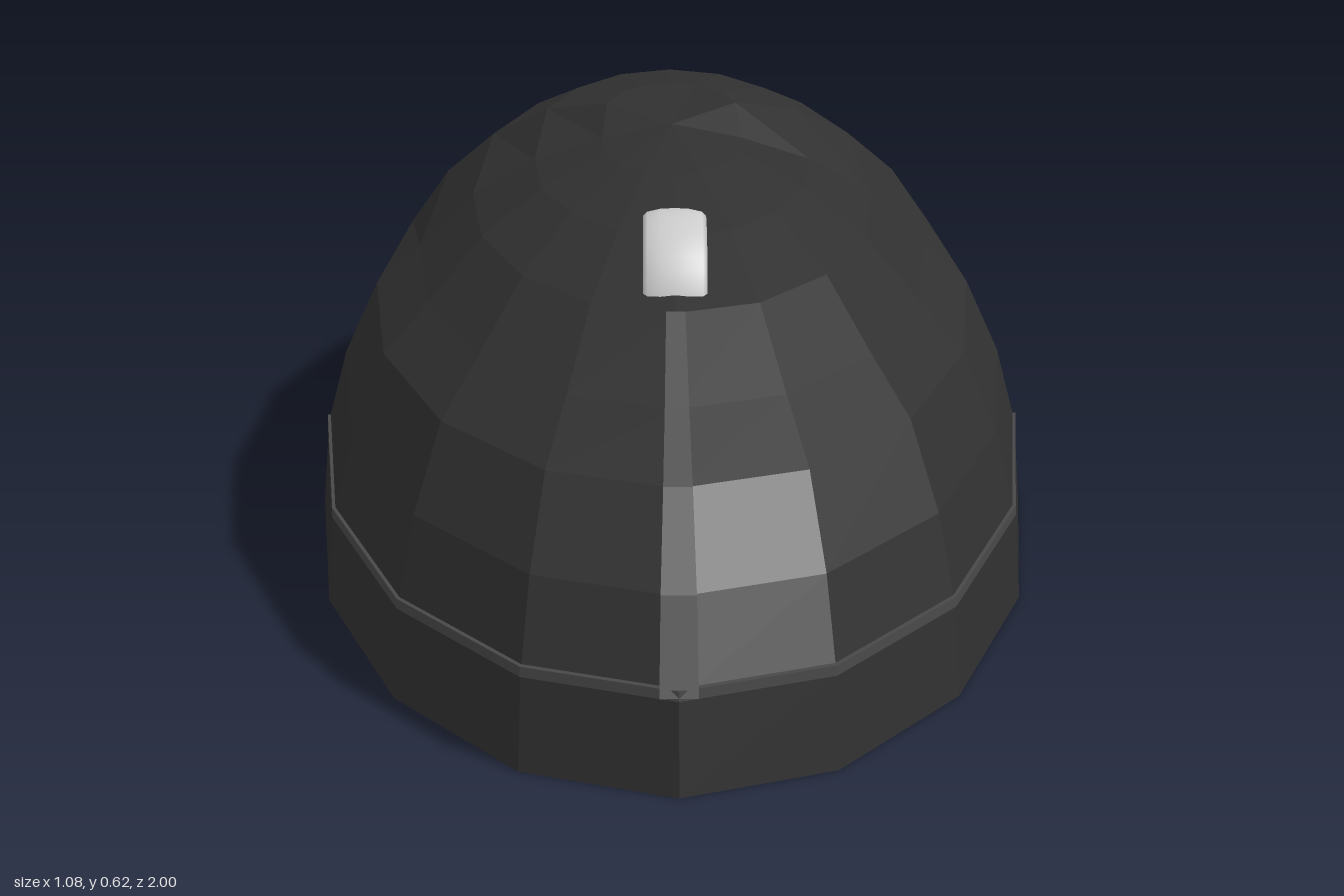
import * as THREE from 'three';

const W = 0.54, STEP = Math.PI / 8;

// Flat-shaded skin over a list of equally long closed loops of points
function loft(sections) {
  const pos = [];
  const tri = (a, b, c) => {
    const area = b.clone().sub(a).cross(c.clone().sub(a)).length();
    if (area > 1e-9) for (const p of [a, b, c]) pos.push(p.x, p.y, p.z);
  };
  for (let i = 0; i + 1 < sections.length; i++) {
    const s = sections[i], t = sections[i + 1], n = s.length;
    for (let j = 0; j < n; j++) {
      const k = (j + 1) % n;
      tri(s[j], s[k], t[k]);
      tri(s[j], t[k], t[j]);
    }
  }
  const g = new THREE.BufferGeometry();
  g.setAttribute('position', new THREE.Float32BufferAttribute(pos, 3));
  g.computeVertexNormals();
  return g;
}

function part(name, geometry, color, flat = true) {
  const mesh = new THREE.Mesh(geometry, new THREE.MeshStandardMaterial({
    color, flatShading: flat, side: THREE.DoubleSide }));
  mesh.name = name;
  return mesh;
}

const v = (x, y, z) => new THREE.Vector3(x, y, z);

// Dome ring heights: the front half is pressed lower than the back
const frontY = [0, 0.128, 0.245, 0.355, 0.416, 0.497, 0.55, 0.583, 0.605];
const backY = [0, 0.128, 0.245, 0.355, 0.453, 0.53, 0.588, 0.617, 0.605];

function ring(i) {
  const r = Math.cos(i * Math.PI / 16);
  return Array.from({ length: 16 }, (_, j) => {
    const back = j > 4 && j < 12;
    return v(W * r * Math.sin(j * STEP), (back ? backY : frontY)[i], r * Math.cos(j * STEP));
  });
}

export function createModel() {
  const model = new THREE.Group();
  model.name = 'computerMouse';

  // Shell with a flat base
  const sections = [Array.from({ length: 16 }, () => v(0, 0, 0))];
  for (let i = 0; i <= 8; i++) sections.push(ring(i));
  model.add(part('shell', loft(sections), 0x303030));

  // Thin band around the front half
  const band = [];
  for (let j = -4; j <= 4; j++) {
    const at = (r, y) => v(W * r * Math.sin(j * STEP), y, r * Math.cos(j * STEP));
    band.push([at(0.983, 0.141), at(0.984, 0.127), at(0.96, 0.127), at(0.96, 0.141)]);
  }
  model.add(part('sideBand', loft(band), 0x484848));

  // Tapered strip between the two buttons, from the band up to the wheel
  const halfWidths = [0.025, 0.023, 0.019, 0.016, 0.013];
  const strip = halfWidths.map((w, k) => {
    const z = Math.cos((k + 1) * Math.PI / 16), y = frontY[k + 1];
    return [v(-w, y + 0.003, z + 0.003), v(w, y + 0.003, z + 0.003),
      v(w, y - 0.03, z - 0.03), v(-w, y - 0.03, z - 0.03)];
  });
  model.add(part('buttonDivider', loft(strip), 0x505050));

  // Scroll wheel with softened rims, sunk into the shell
  const profile = [[0, -0.044], [0.113, -0.044], [0.119, -0.038], [0.123, -0.02],
    [0.124, 0], [0.123, 0.02], [0.119, 0.038], [0.113, 0.044], [0, 0.044]];
  const wheel = part('scrollWheel',
    new THREE.LatheGeometry(profile.map(([r, h]) => new THREE.Vector2(r, h)), 40), 0xcccccc, false);
  wheel.rotation.z = Math.PI / 2;
  wheel.position.set(0, 0.467, 0.4);
  model.add(wheel);

  return model;
}
